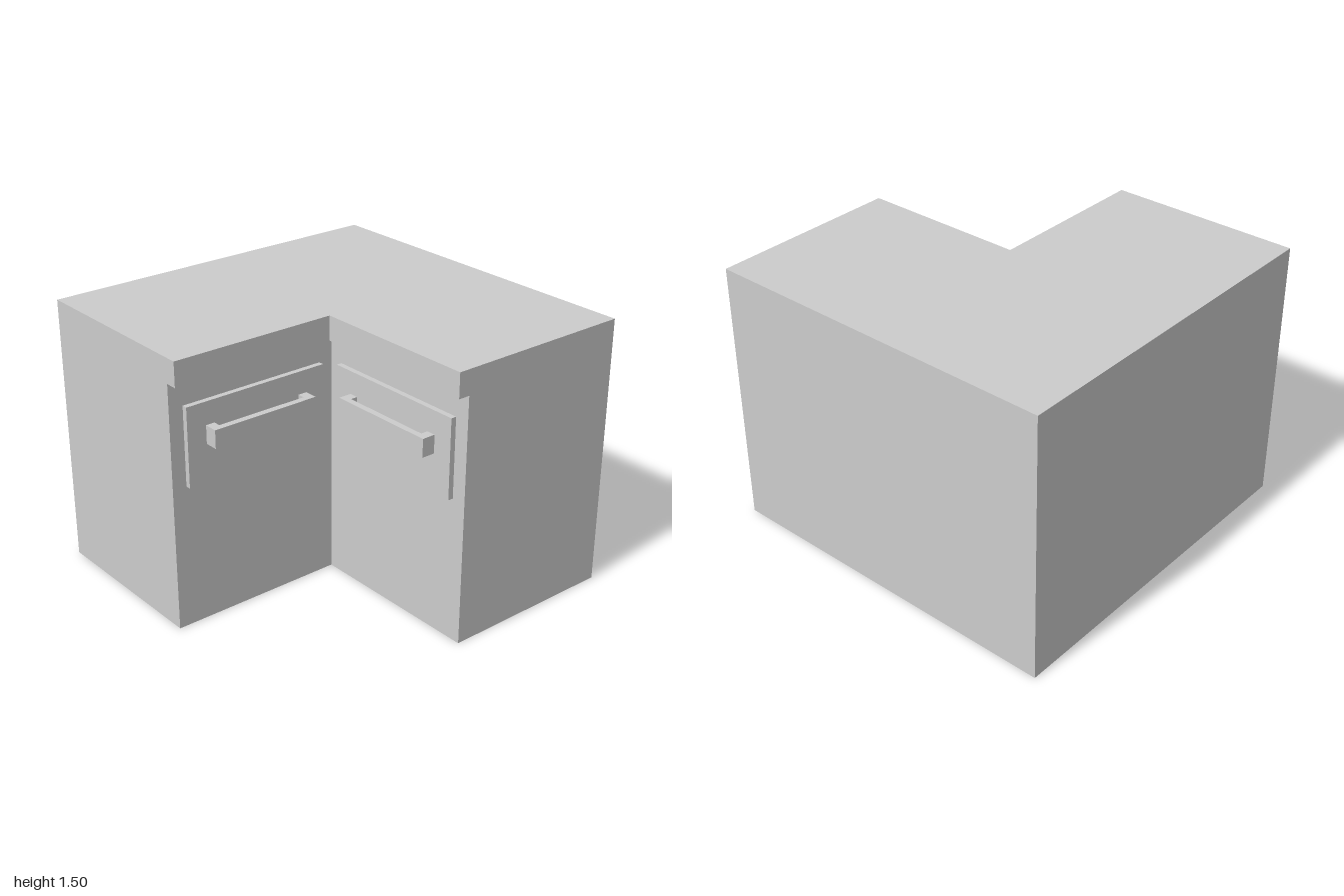
import * as THREE from 'three';

const material = new THREE.MeshStandardMaterial({ color: 0xcccccc, flatShading: true });

// Upright prism from a plan outline given as [x, z] points
function prism(name, plan, y, height) {
  const shape = new THREE.Shape(plan.map(([x, z]) => new THREE.Vector2(x, -z)));
  const geometry = new THREE.ExtrudeGeometry(shape, { depth: height, bevelEnabled: false });
  geometry.rotateX(-Math.PI / 2);
  const mesh = new THREE.Mesh(geometry, material);
  mesh.name = name;
  mesh.position.y = y;
  return mesh;
}

// L-shaped plan whose inner corner sits at (c, c)
const cornerPlan = (c) => [[-1, -1], [1, -1], [1, c], [c, c], [c, 1], [-1, 1]];

// Drawer front with a U-shaped pull, facing +z
function createDrawer(name) {
  const drawer = new THREE.Group();
  drawer.name = name;
  const w = 0.42, face = 0.03;
  const panel = prism('drawerFront', [[-w, 0], [w, 0], [w, face], [-w, face]], 0.79, 0.435);

  const h = 0.31, leg = 0.05, inner = 0.07, outer = 0.105;
  const handle = prism('drawerHandle', [
    [-h, face], [-h + leg, face], [-h + leg, inner], [h - leg, inner],
    [h - leg, face], [h, face], [h, outer], [-h, outer],
  ], 1.0, 0.1);

  drawer.add(panel, handle);
  return drawer;
}

export function createModel() {
  const model = new THREE.Group();
  model.name = 'cornerCabinet';

  // Cabinet body and overhanging worktop
  model.add(prism('cabinetBody', cornerPlan(0), 0, 1.36));
  model.add(prism('worktop', cornerPlan(0.065), 1.36, 0.135));

  // One drawer on each inner face
  const backDrawer = createDrawer('backWingDrawer');
  backDrawer.position.x = 0.5;
  const sideDrawer = createDrawer('sideWingDrawer');
  sideDrawer.position.z = 0.5;
  sideDrawer.rotation.y = Math.PI / 2;
  model.add(backDrawer, sideDrawer);

  return model;
}
